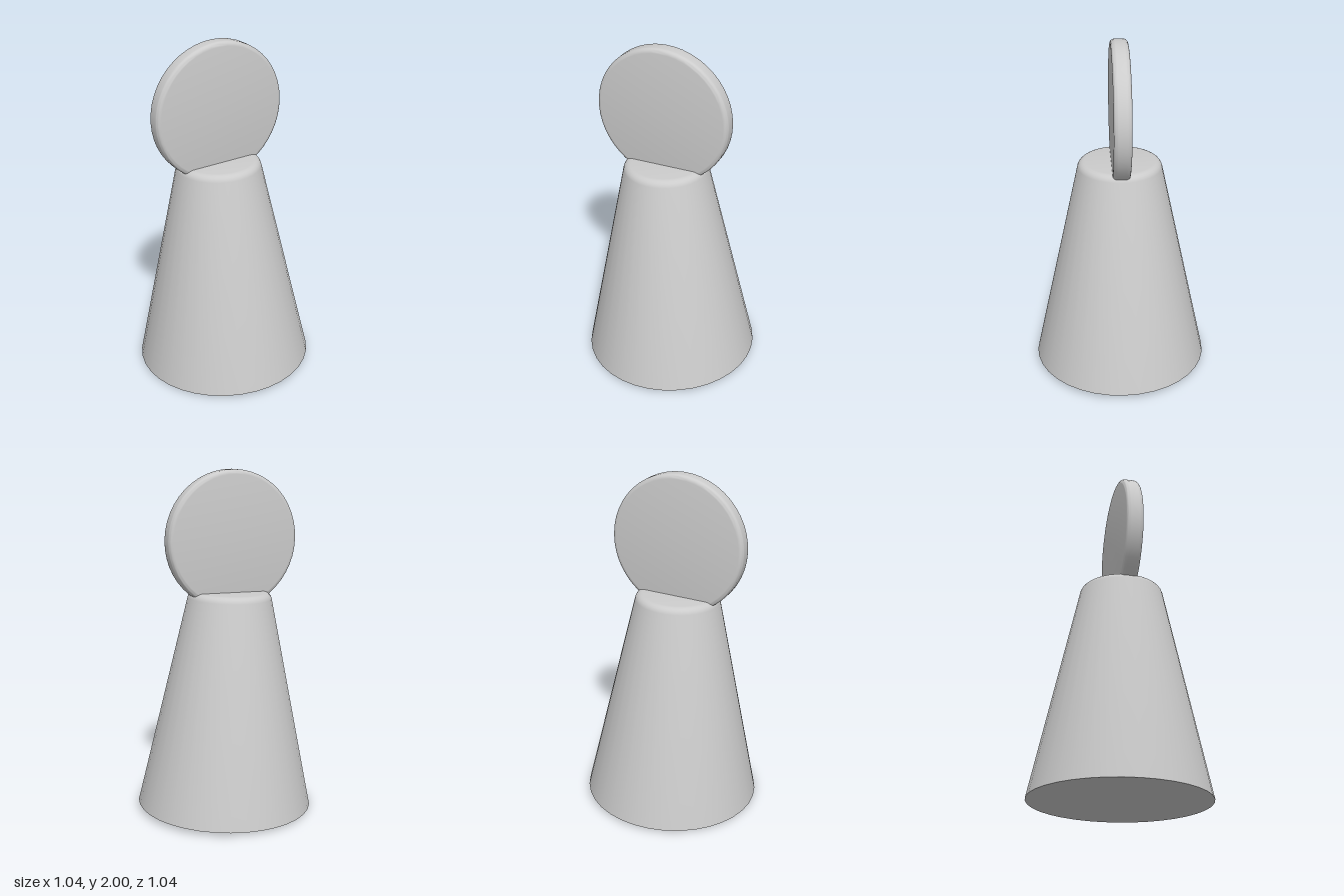
import * as THREE from 'three';
import { toCreasedNormals } from 'three/addons/utils/BufferGeometryUtils.js';

const material = new THREE.MeshStandardMaterial({ color: 0xcccccc });

// Points of a rounded corner in a profile
function fillet(cx, cy, r, from, to, steps = 5) {
  return Array.from({ length: steps + 1 }, (_, i) => {
    const a = from + ((to - from) * i) / steps;
    return new THREE.Vector2(cx + r * Math.cos(a), cy + r * Math.sin(a));
  });
}

function turned(name, profile, segments) {
  const geometry = toCreasedNormals(new THREE.LatheGeometry(profile, segments), 0.7);
  const mesh = new THREE.Mesh(geometry, material);
  mesh.name = name;
  return mesh;
}

export function createModel() {
  const group = new THREE.Group();
  group.name = 'pawn';

  // Tapered body with a rounded top edge and a sharp flat base
  const height = 1.283, topRound = 0.045;
  group.add(turned('body', [
    new THREE.Vector2(0, 0),
    new THREE.Vector2(0.518, 0),
    ...fillet(0.202, height - topRound, topRound, 0.21, Math.PI / 2),
    new THREE.Vector2(0, height),
  ], 36));

  // Upright round head with softened rims, sunk into the body
  const radius = 0.4, half = 0.05, rim = 0.025;
  const head = turned('head', [
    new THREE.Vector2(0, -half),
    ...fillet(radius - rim, -half + rim, rim, -Math.PI / 2, 0),
    ...fillet(radius - rim, half - rim, rim, 0, Math.PI / 2),
    new THREE.Vector2(0, half),
  ], 48);
  head.rotation.x = Math.PI / 2;
  head.position.y = 1.585;
  group.add(head);

  // Whole piece leans slightly to its right
  group.rotation.z = 0.029;
  group.position.y = 0.015;

  const model = new THREE.Group();
  model.add(group);
  return model;
}
